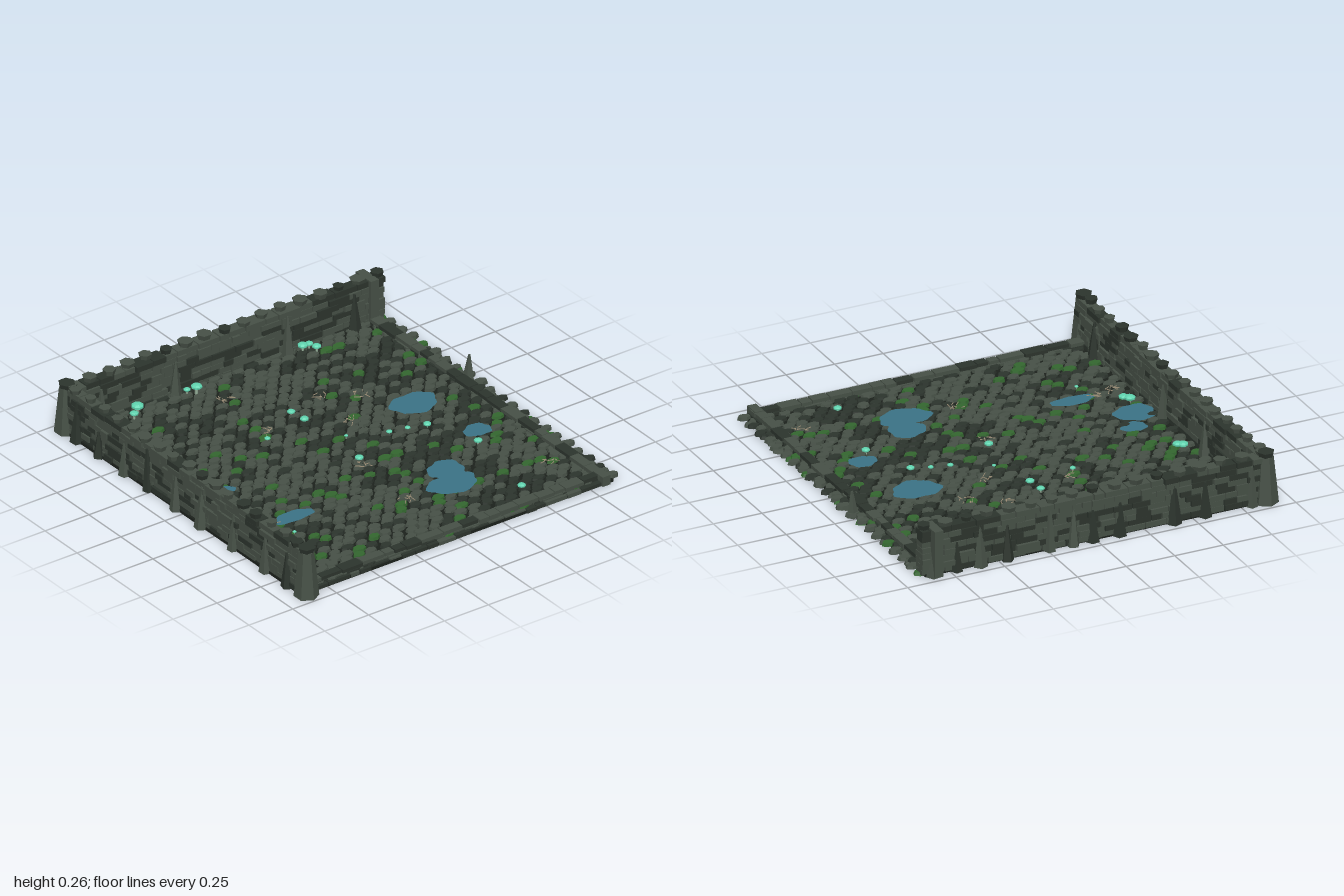
import * as THREE from 'three';
import { mergeGeometries } from 'three/addons/utils/BufferGeometryUtils.js';

const COLORS = {
  stone: 0x465046, darkStone: 0x2c342d, moss: 0x33662f, grout: 0x1c211c,
  water: 0x3a7285, glow: 0x5fd3ae, stem: 0x8fa893, bone: 0x9a8d76,
};

export function createModel() {
  const root = new THREE.Group();
  root.name = 'dungeonRoom';
  const mats = {};
  for (const [name, color] of Object.entries(COLORS)) {
    mats[name] = new THREE.MeshStandardMaterial({ color });
    mats[name].name = name;
  }

  // Seeded random numbers
  let seed = 12345;
  const rnd = (a = 0, b = 1) => {
    seed = (seed * 1664525 + 1013904223) % 4294967296;
    return a + (b - a) * (seed / 4294967296);
  };

  // Pieces are gathered by part and colour, then merged with flat facets
  const parts = {};
  const put = (part, mat, geo, x, y, z, ry = 0, rx = 0, rz = 0) => {
    const g = geo.index ? geo.toNonIndexed() : geo;
    g.rotateZ(rz).rotateX(rx).rotateY(ry).translate(x, y, z);
    g.computeVertexNormals();
    ((parts[part] ??= {})[mat] ??= []).push(g);
  };
  const shade = (dark = 0.35) => (rnd() < dark ? 'darkStone' : 'stone');
  const box = (w, h, d) => new THREE.BoxGeometry(w, h, d);
  const cyl = (rt, rb, h, n = 6) => new THREE.CylinderGeometry(rt, rb, h, n);

  // Base slab
  put('baseSlab', 'grout', box(1.78, 0.014, 1.87), -0.01, 0.007, -0.005);

  // Cobbled floor: flattened facetted stones in staggered rows, some over the open edge
  const rows = 42, cols = 24;
  for (let r = 0; r < rows; r++) {
    const z0 = -0.875 + (r * 1.77) / (rows - 1);
    for (let c = 0; c < cols; c++) {
      const x = -0.81 + c * 0.0725 + (r % 2) * 0.036 + rnd(-0.008, 0.008);
      const z = z0 + rnd(-0.005, 0.005);
      const patch = Math.sin(x * 5 + z * 3) * Math.sin(z * 7 - x * 2) * 0.2;
      const roll = rnd();
      const mat = roll < 0.09 ? 'moss' : roll < 0.4 + patch ? 'darkStone' : 'stone';
      const h = rnd(0.014, 0.021), w = rnd(0.031, 0.041);
      const g = cyl(0.86, 1, h, 7).rotateY(rnd(0, 6)).scale(w, 1, rnd(0.021, 0.027));
      put('floorCobbles', mat, g, x, 0.01 + h / 2, z, rnd(-0.12, 0.12));
    }
  }
  // Loose stones jutting past the right edge
  for (let z = -0.88; z < 0.9; z += 0.082) {
    const g = cyl(0.8, 1, 0.016, 7).scale(rnd(0.03, 0.045), 1, rnd(0.02, 0.03));
    put('edgeStones', rnd() < 0.2 ? 'moss' : shade(), g, rnd(0.862, 0.885), 0.01, z + rnd(-0.02, 0.02), rnd(-0.2, 0.2));
  }

  // Courses of bricks along x or z, with open joints
  const brickRun = (part, alongX, from, to, mid, y0, courses, ch, depth, dark) => {
    for (let i = 0; i < courses; i++) {
      let p = from;
      while (p < to - 0.01) {
        let len = rnd(0.05, 0.13);
        if (to - p - len < 0.04) len = to - p;
        const d = depth + rnd(-0.012, 0.012), l = len - rnd(0.002, 0.007), h = ch - rnd(0, 0.003);
        const off = mid + rnd(-0.004, 0.004), c = p + len / 2, y = y0 + ch * (i + 0.5);
        if (alongX) put(part, shade(dark), box(l, h, d), c, y, off);
        else put(part, shade(dark), box(d, h, l), off, y, c);
        p += len;
      }
    }
  };
  brickRun('backWall', true, -0.9, 0.9, -0.915, 0.008, 8, 0.0285, 0.065, 0.33);
  brickRun('sideWall', false, -0.94, 0.95, -0.868, 0.008, 8, 0.0285, 0.06, 0.33);
  brickRun('frontCurb', true, -0.85, 0.86, 0.888, 0.01, 2, 0.019, 0.05, 0.3);
  brickRun('rightCurb', false, -0.87, 0.92, 0.832, 0.01, 2, 0.019, 0.045, 0.6);
  // Lower step of the front curb
  brickRun('frontStep', true, -0.88, 0.87, 0.915, 0.002, 1, 0.02, 0.035, 0.7);

  // Six-sided merlons crowning both walls
  const merlon = (part, x, z) => {
    const r = rnd(0.027, 0.039), h = rnd(0.024, 0.03);
    put(part, shade(0.2), cyl(r, r * 0.75, h), x, 0.232 + h / 2, z, rnd(0, 3));
  };
  for (let i = 0; i < 17; i++) {
    merlon('backMerlons', -0.87 + i * 0.109, -0.915 + rnd(-0.016, 0.012));
    merlon('sideMerlons', -0.868 + rnd(-0.014, 0.01), -0.86 + i * 0.108);
  }

  // Rock spikes leaning on both faces of the walls
  const spike = (x, z, h, r) =>
    put('rockSpikes', shade(0.35), cyl(0.006, r, h, 5), x, h / 2, z, rnd(0, 6), rnd(-0.04, 0.04));
  for (const x of [-0.72, -0.3, 0.34, 0.72]) spike(x, -0.875, rnd(0.18, 0.22), 0.036);
  for (const z of [-0.4, 0.03, 0.74]) spike(-0.832, z, rnd(0.17, 0.22), 0.036);
  for (const x of [-0.8, -0.56, -0.4, -0.12, 0.02, 0.12, 0.24, 0.46, 0.6, 0.72, 0.84])
    spike(x, -0.945, rnd(0.13, 0.23), rnd(0.028, 0.038));
  for (const z of [-0.82, -0.65, -0.45, -0.27, -0.05, 0.15, 0.4, 0.65, 0.82])
    spike(-0.9, z, rnd(0.13, 0.23), rnd(0.028, 0.036));
  spike(0.895, -0.22, 0.13, 0.03);

  // Tapered corner pillars and curb posts
  for (const [x, z] of [[-0.875, 0.935], [-0.88, -0.93]]) {
    put('cornerPillars', 'stone', cyl(0.036, 0.06, 0.235), x, 0.1175, z);
    put('cornerPillars', 'darkStone', cyl(0.042, 0.034, 0.025), x, 0.246, z, 0.5);
  }
  put('curbPost', 'stone', box(0.045, 0.05, 0.08), 0.83, 0.027, 0.905);
  put('wallEnd', 'stone', box(0.045, 0.235, 0.12), 0.83, 0.125, -0.925);

  // Puddles: thin wavy-edged sheets
  const puddles = [[0.53, -0.15, 0.12, 0.09], [-0.66, -0.01, 0.065, 0.05], [-0.73, 0.12, 0.1, 0.085],
    [-0.53, 0.36, 0.11, 0.045], [0.62, 0.22, 0.07, 0.055], [0.29, 0.43, 0.09, 0.085], [0.24, 0.55, 0.13, 0.085]];
  puddles.forEach(([x, z, rx, rz], k) => {
    const pts = [];
    for (let i = 0; i < 28; i++) {
      const a = (i / 28) * Math.PI * 2, w = 1 + 0.07 * Math.sin(3 * a + k) + 0.05 * Math.sin(7 * a + k * 2);
      pts.push(new THREE.Vector2(Math.cos(a) * rx * w, Math.sin(a) * rz * w));
    }
    const g = new THREE.ShapeGeometry(new THREE.Shape(pts)).rotateX(-Math.PI / 2);
    put('puddles', 'water', g, x, 0.0306 + k * 0.0001, z);
  });

  // Glowing mushrooms: x, z, cap radius
  const shrooms = [[-0.55, -0.83, 0.032], [-0.59, -0.8, 0.022], [-0.22, -0.82, 0.028], [-0.26, -0.84, 0.018],
    [0.4, -0.84, 0.026], [0.44, -0.845, 0.02], [0.45, -0.8, 0.023], [-0.77, -0.295, 0.027], [-0.75, -0.28, 0.025],
    [-0.77, 0.25, 0.028], [-0.75, 0.275, 0.025], [0.02, -0.41, 0.02], [0.03, -0.32, 0.022], [-0.21, -0.28, 0.015],
    [0.1, -0.09, 0.01], [0.025, 0.115, 0.022], [0.28, 0, 0.015], [0.37, 0.02, 0.014], [0.46, 0.05, 0.02],
    [0.56, 0.31, 0.021], [-0.61, 0.48, 0.01], [0.48, 0.76, 0.021]];
  for (const [x, z, r] of shrooms) {
    const y = 0.028 + r * (z < -0.75 ? 1.2 : 0.5);
    put('mushroomStems', 'stem', cyl(r * 0.2, r * 0.28, y - 0.015, 5), x, (y + 0.015) / 2, z);
    put('mushroomCaps', 'glow', new THREE.SphereGeometry(r, 8, 5).scale(1, 0.5, 1), x, y, z, rnd(0, 3));
  }

  // Scattered small bones
  const piles = [[-0.15, -0.69], [0.22, -0.45], [0.37, -0.36], [-0.17, -0.34], [0.2, -0.19],
    [0, 0.17], [-0.74, 0.38], [-0.64, 0.36], [-0.02, 0.54], [0.72, 0.64]];
  for (const [x, z] of piles)
    for (let i = 0; i < 8; i++)
      put('bonePiles', 'bone', box(rnd(0.015, 0.034), 0.003, 0.003), x + rnd(-0.033, 0.033), 0.034, z + rnd(-0.033, 0.033), rnd(0, 3));

  // One mesh per part and colour
  for (const [part, byMat] of Object.entries(parts)) {
    const group = new THREE.Group();
    group.name = part;
    for (const [mat, geos] of Object.entries(byMat)) {
      const mesh = new THREE.Mesh(mergeGeometries(geos), mats[mat]);
      mesh.name = `${part}_${mat}`;
      group.add(mesh);
    }
    root.add(group);
  }
  return root;
}
